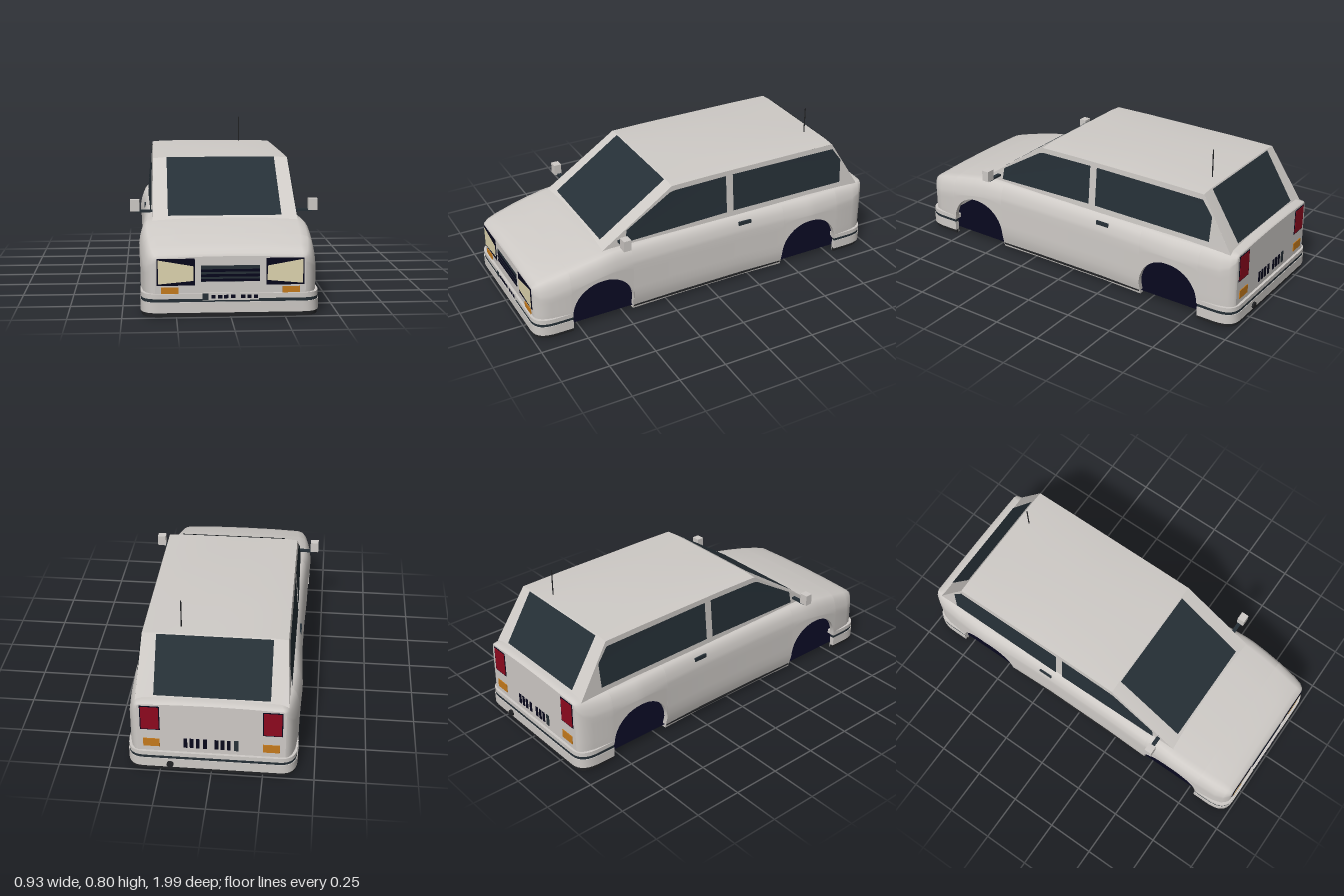
import * as THREE from 'three';
import { toCreasedNormals } from 'three/addons/utils/BufferGeometryUtils.js';

const material = (name, color, side = THREE.FrontSide) => {
  const m = new THREE.MeshStandardMaterial({ color, side });
  m.name = name;
  return m;
};

export function createModel() {
  const car = new THREE.Group();
  car.name = 'car';
  const paint = material('body paint', 0xcfcbc7, THREE.DoubleSide);
  const glass = material('dark glass', 0x263037, THREE.DoubleSide);
  const navy = material('navy black', 0x06061b, THREE.DoubleSide);
  const rubber = material('black rubber', 0x222325);
  const cream = material('headlight cream', 0xe0d6b0);
  const orange = material('indicator orange', 0xc67b1d);
  const red = material('tail light red', 0x8e081e);

  const add = (name, geometry, mat, x = 0, y = 0, z = 0) => {
    const mesh = new THREE.Mesh(geometry, mat);
    mesh.name = name;
    mesh.position.set(x, y, z);
    car.add(mesh);
    return mesh;
  };
  const box = (name, mat, x0, x1, y0, y1, z0, z1) =>
    add(name, new THREE.BoxGeometry(Math.abs(x1 - x0), y1 - y0, Math.abs(z1 - z0)), mat,
      (x0 + x1) / 2, (y0 + y1) / 2, (z0 + z1) / 2);
  const flat = (pts) => new THREE.ShapeGeometry(new THREE.Shape(pts.map(([x, y]) => new THREE.Vector2(x, y))));

  // Surface through rows of [x, y, z] points
  const grid = (rows) => {
    const n = rows[0].length, index = [];
    for (let i = 0; i < rows.length - 1; i++) {
      for (let j = 0; j < n - 1; j++) {
        const a = i * n + j, b = a + n;
        index.push(a, b, a + 1, b, b + 1, a + 1);
      }
    }
    const g = new THREE.BufferGeometry();
    g.setAttribute('position', new THREE.Float32BufferAttribute(rows.flat(2), 3));
    g.setIndex(index);
    g.computeVertexNormals();
    return g;
  };

  // Lower body stations: z, half width, top height, shoulder size
  const stations = [
    [0.975, 0.347, 0.28, 0.25], [0.969, 0.365, 0.294, 0.45], [0.945, 0.387, 0.311, 0.8],
    [0.9, 0.402, 0.327, 1], [0.8, 0.413, 0.352, 1], [0.7, 0.419, 0.374, 1], [0.62, 0.421, 0.39, 1],
    [0.56, 0.419, 0.399, 1], [0.45, 0.412, 0.4, 1], [0.2, 0.406, 0.4, 1], [-0.2, 0.405, 0.4, 1],
    [-0.45, 0.413, 0.4, 1], [-0.62, 0.422, 0.4, 1], [-0.8, 0.413, 0.4, 1], [-0.9, 0.403, 0.4, 1],
    [-0.945, 0.39, 0.399, 0.8], [-0.969, 0.373, 0.395, 0.45], [-0.975, 0.358, 0.388, 0.25],
  ];
  const at = (z) => {
    let i = 0;
    while (i < stations.length - 2 && z < stations[i + 1][0]) i++;
    const p = stations[i], q = stations[i + 1], t = (z - p[0]) / (q[0] - p[0]);
    return p.map((v, k) => v + (q[k] - v) * t);
  };
  const shoulder = [[0, 0.1], [0.003, 0.08], [0.009, 0.055], [0.019, 0.028], [0.036, 0.01], [0.07, 0]];
  const section = (z, bottom) => {
    const [, w, top, s] = at(z);
    const edge = top - 0.008, side = edge - 0.1 * s, half = [];
    for (let k = 0; k < 6; k++) {
      const y = bottom + (side - bottom) * k / 6;
      half.push([w - 0.25 * Math.max(0, 0.09 - y), y, z]);
    }
    shoulder.forEach(([dx, d]) => half.push([w - dx * s, edge - d * s, z]));
    half.push([w * 0.45, top - 0.002, z]);
    return [...half, [0, top, z], ...half.map(([x, y]) => [-x, y, z]).reverse()];
  };

  // Station list with the two wheel arches cut into the bottom edge, each with a narrow lip
  const archZ = [0.62, -0.615], archR = 0.17, archY = 0.085;
  const base = (z) => (Math.abs(z) < 0.6 ? 0.015 : archY);
  const cuts = stations.filter(([z]) => archZ.every((c) => Math.abs(z - c) > archR)).map(([z]) => [z, base(z)]);
  archZ.forEach((c) => {
    const arch = [[c + archR, base(c + archR)]];
    for (let k = 0; k <= 20; k++) {
      const a = Math.PI * k / 20;
      arch.push([c + archR * Math.cos(a), archY + archR * Math.sin(a)]);
    }
    arch.push([c - archR, base(c - archR)]);
    cuts.push(...arch);
    for (const s of [1, -1]) {
      add('wheelArchLip', toCreasedNormals(grid(arch.map(([z, y]) => {
        const w = section(z, y)[0][0];
        return [[s * w, y, z], [s * (w - 0.025), y, z]];
      })), 0.6), paint);
    }
  });
  cuts.sort((a, b) => b[0] - a[0] || (a[0] > (a[0] > 0 ? archZ[0] : archZ[1]) ? a[1] - b[1] : b[1] - a[1]));
  const rows = cuts.map(([z, y]) => section(z, y));
  add('bodyShell', grid(rows), paint);
  add('frontPanel', flat(rows[0]), paint, 0, 0, 0.975);
  add('rearPanel', flat(rows[rows.length - 1]), paint, 0, 0, -0.975).rotation.y = Math.PI;

  // Floor pan with rounded corners
  const pan = new THREE.Shape(), px = 0.39, pz = 0.955, pr = 0.08;
  pan.moveTo(px, pr - pz);
  pan.lineTo(px, pz - pr);
  pan.quadraticCurveTo(px, pz, px - pr, pz);
  pan.lineTo(pr - px, pz);
  pan.quadraticCurveTo(-px, pz, -px, pz - pr);
  pan.lineTo(-px, pr - pz);
  pan.quadraticCurveTo(-px, -pz, pr - px, -pz);
  pan.lineTo(px - pr, -pz);
  pan.quadraticCurveTo(px, -pz, px, pr - pz);
  add('floor', new THREE.ShapeGeometry(pan, 6).rotateX(Math.PI / 2), navy, 0, 0.035, 0);

  // Cabin: roof strip with screens, side panels and glass
  const profile = [[0.602, 0.38], [0.2, 0.656], [0, 0.664], [-0.3, 0.667], [-0.55, 0.664], [-0.77, 0.656], [-0.939, 0.38]];
  const cabinW = (y, z) => 0.375 - 0.025 * (y - 0.395) / 0.26 - 0.05 * (Math.max(0, z - 0.2) + Math.max(0, -z - 0.77));
  const edgeY = (y) => (y > 0.5 ? Math.min(y - 0.006, 0.653) : y);
  const roofY = (y, f) => (Math.abs(f) === 1 ? edgeY(y) : y > 0.66 ? y - 0.01 * f * f : y);
  add('roof', toCreasedNormals(grid(profile.map(([z, y]) => [1, 0.8, 0.4, 0, -0.4, -0.8, -1].map((f) =>
    [f * cabinW(y, z), roofY(y, f), z]))), 0.35), paint);
  const sidePanel = (name, pts, offset, mat, s) => {
    const g = flat(pts), p = g.attributes.position;
    for (let i = 0; i < p.count; i++) {
      const z = p.getX(i), y = p.getY(i);
      p.setXYZ(i, s * (cabinW(y, z) + offset), y, z);
    }
    g.computeVertexNormals();
    add(name, g, mat);
  };
  const screen = (name, [z0, y0], [z1, y1], t0, t1) => {
    const len = Math.hypot(z1 - z0, y1 - y0), nz = (y1 - y0) / len * 0.004, ny = (z0 - z1) / len * 0.004;
    add(name, grid([t0, t1].map((t) => [0.28, -0.28].map((x) =>
      [x, y0 + (y1 - y0) * t + ny, z0 + (z1 - z0) * t + nz]))), glass);
  };
  screen('windscreen', profile[0], profile[1], 0.08, 0.99);
  screen('rearWindow', profile[5], profile[6], 0.02, 0.92);

  // Parts mirrored on both sides
  for (const s of [1, -1]) {
    sidePanel('cabinSide', profile.map(([z, y]) => [z, edgeY(y)]), 0, paint, s);
    sidePanel('frontSideWindow', [[0.47, 0.405], [0.46, 0.47], [0.215, 0.62], [0.19, 0.626], [-0.11, 0.63], [-0.11, 0.425]], 0.004, glass, s);
    sidePanel('rearSideWindow', [[-0.15, 0.63], [-0.77, 0.625], [-0.825, 0.55], [-0.82, 0.42], [-0.15, 0.425]], 0.004, glass, s);
    box('mirrorArm', glass, s * 0.345, s * 0.44, 0.414, 0.425, 0.49, 0.51);
    box('mirror', paint, s * 0.42, s * 0.465, 0.42, 0.478, 0.485, 0.525);
    box('doorHandle', glass, s * 0.382, s * 0.399, 0.335, 0.355, -0.247, -0.172);
    box('sillStrip', rubber, s * 0.385, s * 0.4, 0.03, 0.038, -0.44, 0.445);

    box('headlightFrame', navy, s * 0.165, s * 0.34, 0.145, 0.27, 0.972, 0.977);
    add('headlight', flat([[0.17, 0.167], [0.334, 0.152], [0.334, 0.264], [0.17, 0.235]].map(([x, y]) => [s * x, y])), cream, 0, 0, 0.979);
    box('frontIndicator', orange, s * 0.24, s * 0.32, 0.107, 0.137, 0.972, 0.979);

    box('tailLightFrame', navy, s * 0.247, s * 0.343, 0.234, 0.372, -0.972, -0.977);
    box('tailLight', red, s * 0.252, s * 0.338, 0.239, 0.367, -0.973, -0.979);
    box('rearIndicator', orange, s * 0.25, s * 0.33, 0.135, 0.18, -0.972, -0.979);
  }

  // Grille
  box('grille', glass, -0.137, 0.135, 0.162, 0.237, 0.972, 0.977);
  for (const y of [0.168, 0.19, 0.213]) box('grilleSlot', navy, -0.137, 0.135, y - 0.005, y + 0.007, 0.973, 0.979);

  // Wrap-around bumpers: thin stacked bands, the black skirt lined with paint
  const bumperBand = (y0, y1, grow, thick) => {
    const a = 0.416 + grow, e = 0.99 + grow, i = a - thick, k = e - thick, s = new THREE.Shape();
    s.moveTo(a, 0.79);
    s.lineTo(a, 0.88);
    s.bezierCurveTo(a, 0.945, a - 0.02, e, a - 0.085, e);
    s.lineTo(0.085 - a, e);
    s.bezierCurveTo(0.02 - a, e, -a, 0.945, -a, 0.88);
    s.lineTo(-a, 0.79);
    s.lineTo(-i, 0.79);
    s.lineTo(-i, 0.88);
    s.bezierCurveTo(-i, 0.945 - thick, 0.02 - i, k, 0.085 - i, k);
    s.lineTo(i - 0.085, k);
    s.bezierCurveTo(i - 0.02, k, i, 0.945 - thick, i, 0.88);
    s.lineTo(i, 0.79);
    const g = new THREE.ExtrudeGeometry(s, { depth: y1 - y0, bevelEnabled: false, curveSegments: 8 });
    return toCreasedNormals(g.rotateX(-Math.PI / 2).translate(0, y0, 0), 0.6);
  };
  const bands = [
    [0, 0.02, -0.006, 0.014, rubber], [0.001, 0.02, -0.02, 0.005, paint], [0.02, 0.07, 0, 0.025, paint],
    [0.07, 0.085, -0.003, 0.022, glass], [0.085, 0.108, -0.002, 0.045, paint],
  ];
  for (const [y0, y1, grow, thick, mat] of bands) {
    add('rearBumper', bumperBand(y0, y1, grow, thick), mat);
    add('frontBumper', bumperBand(y0, y1, grow, thick), mat).rotation.y = Math.PI;
  }

  // Front and rear plates with plain blocks
  box('frontPlate', paint, -0.13, 0.128, 0.078, 0.112, 0.983, 0.991);
  box('plateBadge', glass, -0.13, -0.103, 0.08, 0.11, 0.985, 0.993);
  for (const x of [-0.08, -0.05, -0.021, 0.01, 0.056, 0.085, 0.115])
    box('plateBlock', navy, x - 0.01, x + 0.01, 0.087, 0.103, 0.985, 0.993);
  for (const x of [0.125, 0.095, 0.065, 0.03, -0.025, -0.055, -0.085])
    box('rearPlateBlock', navy, x - 0.009, x + 0.009, 0.135, 0.19, -0.972, -0.978);
  box('rearPlateBadge', glass, -0.132, -0.11, 0.132, 0.193, -0.972, -0.978);

  // Exhaust pipe and aerial
  add('exhaust', new THREE.CylinderGeometry(0.017, 0.017, 0.09, 12).rotateX(Math.PI / 2), rubber, 0.2, 0.04, -0.955);
  add('aerial', new THREE.CylinderGeometry(0.003, 0.003, 0.145, 8), rubber, 0.168, 0.7285, -0.71);
  return car;
}
